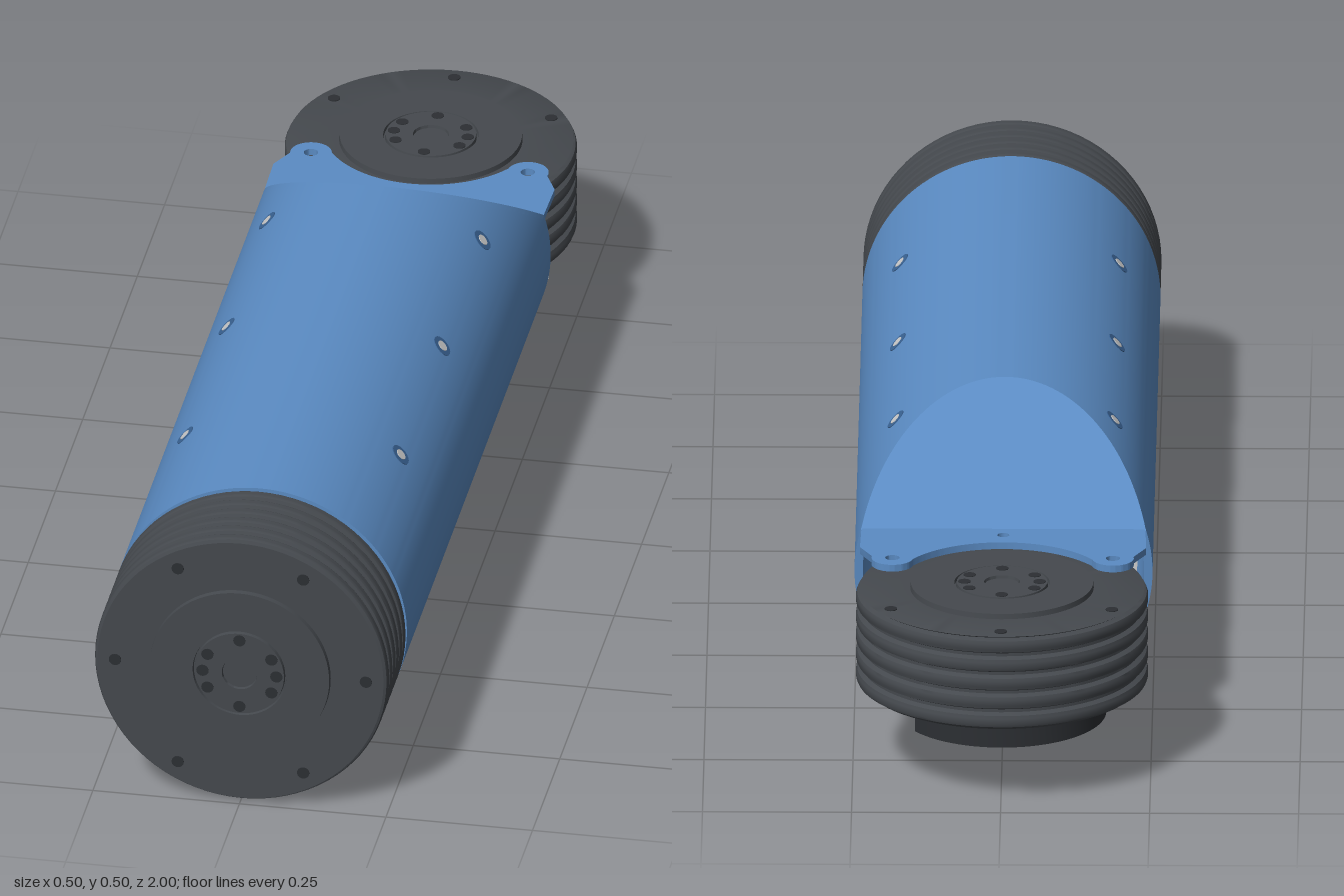
import * as THREE from 'three';
import { toCreasedNormals } from 'three/addons/utils/BufferGeometryUtils.js';

const mat = (color) => new THREE.MeshStandardMaterial({ color, side: THREE.DoubleSide });
const blue = mat(0x5b8cc4), grey = mat(0xcccccc), dark = mat(0x45494e);
const black = mat(0x2c2f33), yellow = mat(0xc9a227), deepBlue = mat(0x3a6394);

const R = 0.25, CY = 0.25, WALL = 0.014;       // tube radius, axis height, wall
const JZ = -0.755, CLEAR = 0.264;              // elbow axis and clearance around it
const angleAt = (y) => Math.asin((y - CY) / R);

function add(parent, name, geometry, material, x = 0, y = 0, z = 0) {
  const mesh = new THREE.Mesh(toCreasedNormals(geometry, 0.5), material);
  mesh.name = name;
  mesh.position.set(x, y, z);
  parent.add(mesh);
  return mesh;
}

// Curved wall around the tube axis; end(x, y) gives the z of its rear edge
function shell(a0, a1, front, end, seg = 64) {
  const pos = [], idx = [];
  for (let i = 0; i <= seg; i++) {
    const a = a0 + (a1 - a0) * i / seg;
    const [o, n] = [R, R - WALL].map((r) => [r * Math.cos(a), CY + r * Math.sin(a)]);
    pos.push(...o, front, ...o, end(...o), ...n, end(...n), ...n, front);
    if (i === seg) break;
    for (let k = 0; k < 4; k++) {
      const p = i * 4 + k, q = i * 4 + (k + 1) % 4;
      idx.push(p, q, q + 4, p, q + 4, p + 4);
    }
  }
  const e = seg * 4;
  idx.push(0, 3, 2, 0, 2, 1, e, e + 1, e + 2, e, e + 2, e + 3);
  const g = new THREE.BufferGeometry();
  g.setAttribute('position', new THREE.Float32BufferAttribute(pos, 3));
  g.setIndex(idx);
  return g;
}

const extrude = (shape, depth) =>
  new THREE.ExtrudeGeometry(shape, { depth, bevelEnabled: false, curveSegments: 32 });
// Horizontal plate from a shape drawn in (x, -z)
const plate = (shape, depth) => extrude(shape, depth).rotateX(-Math.PI / 2);

function hole(shape, x, y, r) {
  shape.holes.push(new THREE.Path().absarc(x, y, r, 0, Math.PI * 2, true));
}

// Two rounded ears with screw holes and a round cut-out between them
function ears(shape, cut) {
  const a = Math.acos(0.152 / cut);
  shape.absarc(0.185, 0.65, 0.035, -0.2, Math.PI - 0.2, false);
  shape.absarc(0, -JZ, cut, -a, -Math.PI + a, true);
  shape.absarc(-0.185, 0.65, 0.035, 0.2, Math.PI + 0.2, false);
  for (const s of [-1, 1]) hole(shape, s * 0.185, 0.65, 0.012);
  return shape;
}

// Ribbed actuator standing on y = 0, output face on top
function actuator(name, radius, length, ribs, boltOffset) {
  const g = new THREE.Group();
  g.name = name;
  const pts = [[0, 0], [radius - 0.012, 0]];
  const pitch = length / ribs;
  for (let i = 0; i < ribs; i++) {
    const y = i * pitch;
    pts.push([radius - 0.01, y + 0.08 * pitch], [radius - 0.002, y + 0.2 * pitch], [radius, y + 0.35 * pitch],
      [radius, y + 0.65 * pitch], [radius - 0.002, y + 0.8 * pitch], [radius - 0.01, y + 0.92 * pitch]);
  }
  const t = length + 0.009;
  pts.push([radius - 0.006, length], [0.154, length], [0.153, t], [0.08, t], [0.079, t - 0.006],
    [0.077, t - 0.006], [0.076, t + 0.001], [0.03, t + 0.001], [0.029, t - 0.004], [0, t - 0.004]);
  add(g, 'ribbedHousing', new THREE.LatheGeometry(pts.map((p) => new THREE.Vector2(...p)), 80), dark);
  const bolt = (nm, r, deg, y) => {
    const a = deg * Math.PI / 180;
    add(g, nm, new THREE.CylinderGeometry(0.0105, 0.0105, 0.006, 16), black,
      r * Math.cos(a), y, r * Math.sin(a));
  };
  for (let i = 0; i < 6; i++) bolt('rimBolt', 0.214, i * 60 + boltOffset, length - 0.0015);
  for (const d of [0, 30, 90, 150, 180, 210, 270, 330]) bolt('hubBolt', 0.063, d, t - 0.001);
  return g;
}

export function createModel() {
  const model = new THREE.Group();
  model.name = 'robotArmLink';

  // Actuators: one at the front end, one at the elbow
  const frontActuator = actuator('frontActuator', 0.25, 0.18, 6, 0);
  frontActuator.rotation.x = Math.PI / 2;
  frontActuator.position.set(0, CY, 0.81);
  const elbow = actuator('elbowActuator', 0.245, 0.167, 5, 30);
  elbow.position.set(0, 0.145, JZ);
  model.add(frontActuator, elbow);

  // Electronics drum under the elbow, with a flat side and a socket
  const f = Math.acos(0.145 / 0.175);
  const drum = new THREE.Shape().absarc(0, 0, 0.175, f, Math.PI * 2 - f, false);
  add(elbow, 'electronicsDrum', plate(drum, 0.055), black, 0, -0.055, 0);
  add(elbow, 'drumCap', new THREE.CylinderGeometry(0.14, 0.13, 0.015, 48), black, 0, -0.0625, 0);
  add(elbow, 'socket', new THREE.BoxGeometry(0.012, 0.03, 0.06), yellow, 0.145, -0.04, 0);

  // Upper cover with sloped rear
  const slope = (x, y) => -0.51 + 0.26 * Math.max(0, (y - 0.325) / 0.175);
  const seam = angleAt(0.165), low = angleAt(0.145), mid = angleAt(0.325), floor = angleAt(0.04);
  add(model, 'upperCover', shell(seam, Math.PI - seam, 0.808, slope, 96), blue);
  const face = extrude(new THREE.Shape().absarc(0, CY, R, mid, Math.PI - mid, false), 0.015);
  const p = face.attributes.position;
  for (let i = 0; i < p.count; i++) p.setZ(i, p.getZ(i) + slope(0, p.getY(i)));
  add(model, 'slopedFace', face, blue);

  // Upper ear plate holding the elbow
  const top = new THREE.Shape();
  top.moveTo(-0.238, 0.5);
  top.lineTo(0.238, 0.5);
  top.lineTo(0.24, 0.6);
  ears(top, 0.18);
  top.lineTo(-0.24, 0.6);
  hole(top, 0, 0.54, 0.01);
  add(model, 'upperEarPlate', plate(top, 0.012), blue, 0, 0.313, 0);

  // Lower cover: belly, and sides cut round the elbow
  const round = (x) => JZ + Math.sqrt(CLEAR * CLEAR - Math.min(x * x, 0.0515));
  add(model, 'lowerCoverBelly', shell(-Math.PI - floor, floor, 0.808, () => -0.42), grey);
  for (const left of [true, false]) {
    const side = (name, a0, a1, front, end, m) => add(model, name,
      left ? shell(a0, a1, front, end, 24) : shell(Math.PI - a1, Math.PI - a0, front, end, 24), m);
    side('lowerCoverSide', floor, low, 0.808, round, grey);
    side('lowerCoverEdge', low, seam, 0.808, () => -0.33, grey);
    side('upperCoverSkirt', low, seam, -0.33, () => -0.51, blue);
  }

  // Stepped recess at the rear of the belly
  const step = new THREE.Shape().absarc(0, CY, R, -Math.PI - floor, floor, false);
  add(model, 'recessWall', extrude(step, 0.01), grey, 0, 0, -0.42);
  const w = Math.acos(0.136 / CLEAR);
  const shelf = new THREE.Shape();
  shelf.moveTo(-0.136, 0.42);
  shelf.lineTo(0.136, 0.42);
  shelf.absarc(0, -JZ, CLEAR, -w, -Math.PI + w, true);
  for (const s of [-1, 1]) {
    const slot = [[0.012, 0.435], [0.075, 0.435], [0.075, 0.475], [0.012, 0.468]];
    shelf.holes.push(new THREE.Path(slot.map(([x, y]) => new THREE.Vector2(s * x, y))));
  }
  add(model, 'recessShelf', plate(shelf, 0.01), grey, 0, 0.04, 0);

  // Curved collar that widens upward with the tube
  const collar = new THREE.CylinderGeometry(CLEAR, CLEAR, 0.1, 40, 8, true, -1, 2);
  const c = collar.attributes.position;
  for (let i = 0; i < c.count; i++) {
    const y = c.getY(i) + 0.09;
    const half = Math.asin(Math.sqrt(R * R - (y - CY) ** 2) / CLEAR);
    const a = Math.atan2(c.getX(i), c.getZ(i)) * half;
    c.setXYZ(i, CLEAR * Math.sin(a), y, JZ + CLEAR * Math.cos(a));
  }
  add(model, 'elbowCollar', collar, grey);

  // Lower ear plate
  const u = Math.acos(0.222 / CLEAR);
  const under = new THREE.Shape();
  under.absarc(0, -JZ, CLEAR, -Math.PI + u, -u, false);
  ears(under, 0.19);
  add(model, 'lowerEarPlate', plate(under, 0.012), grey, 0, 0.131, 0);

  // Screws along the upper cover, and small ones under the front end
  const screw = (name, a, z, r, m, lift) => {
    const s = add(model, name, new THREE.CylinderGeometry(r, r, 0.01, 20), m,
      (R - 0.005 + lift) * Math.cos(a), CY + (R - 0.005 + lift) * Math.sin(a), z);
    s.rotation.z = a - Math.PI / 2;
  };
  for (const z of [0.51, 0.13, -0.24]) {
    for (const a of [0.745, Math.PI - 0.745]) {
      screw('screwSeat', a, z, 0.019, deepBlue, 0.001);
      screw('screwHead', a, z, 0.01, grey, 0.002);
    }
  }
  for (const d of [-0.25, 0, 0.25]) screw('bellyScrew', -Math.PI / 2 + d, 0.7, 0.007, black, 0.0005);

  return model;
}
